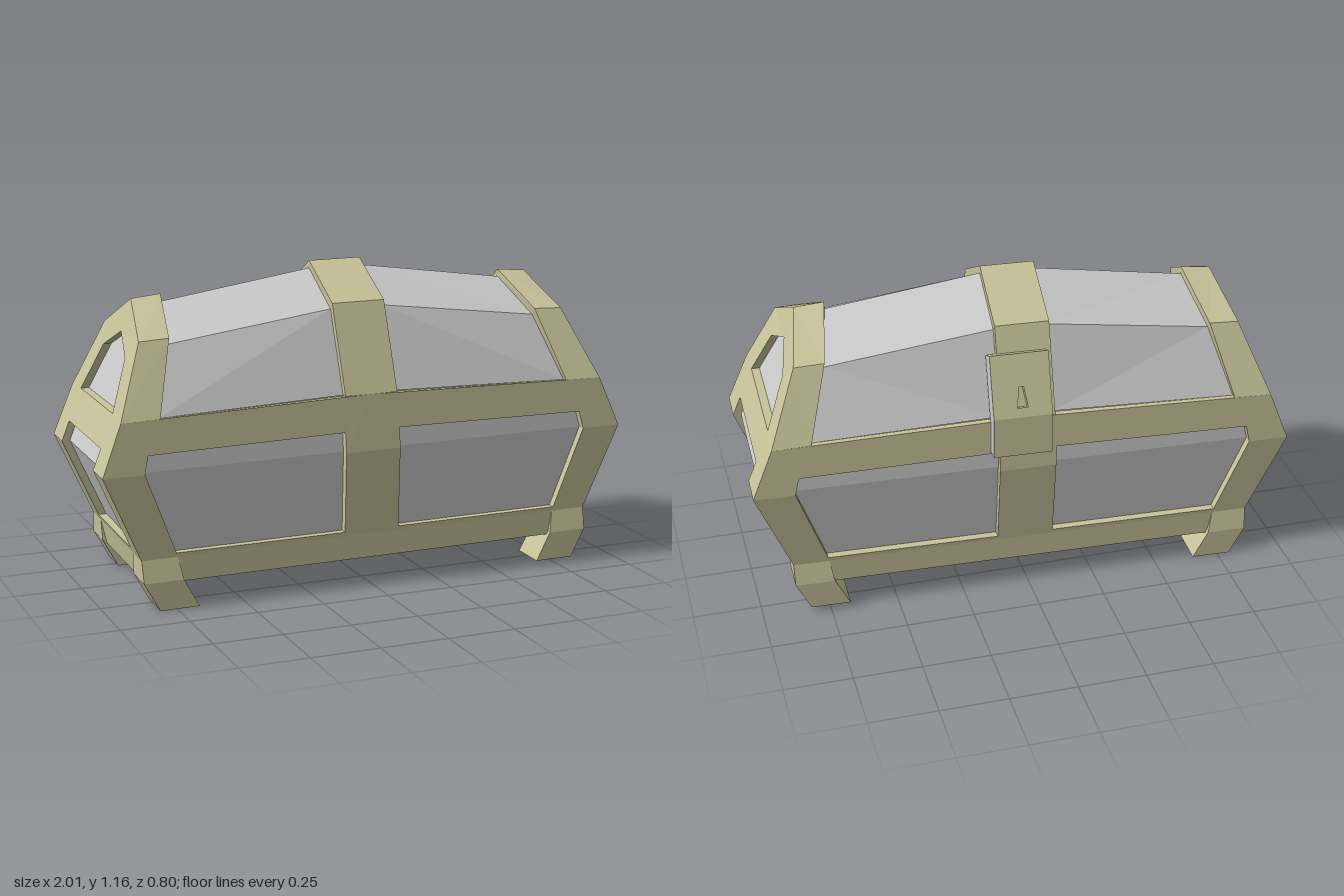
import * as THREE from 'three';

const makeMat = color => new THREE.MeshStandardMaterial({ color, flatShading: true, side: THREE.DoubleSide });

// Quads between successive rows of points; closed joins each row's last point to its first
function loft(rows, closed = false) {
  const pos = [];
  for (let r = 0; r + 1 < rows.length; r++) {
    const a = rows[r], b = rows[r + 1], n = a.length;
    for (let i = 0; i < (closed ? n : n - 1); i++) {
      const j = (i + 1) % n;
      pos.push(...a[i], ...a[j], ...b[j], ...a[i], ...b[j], ...b[i]);
    }
  }
  const g = new THREE.BufferGeometry();
  g.setAttribute('position', new THREE.Float32BufferAttribute(pos, 3));
  g.computeVertexNormals();
  return g;
}

// Corner edge of the chest from skirt to ridge: half length, height, half depth
const A = [0.85, 0.11, 0.345], B = [0.867, 0.2, 0.345], C = [1.0, 0.515, 0.37];
const D = [0.925, 0.7, 0.355], E = [0.82, 0.955, 0.235], F = [0.78, 1.07, 0];
const EDGE = [A, B, C, D, E, F];

// Corner edge value (axis 0 = x, 2 = z) at a height
function edgeAt(y, axis) {
  let i = 0;
  while (i < EDGE.length - 2 && EDGE[i + 1][1] < y) i++;
  const p = EDGE[i], q = EDGE[i + 1];
  return THREE.MathUtils.lerp(p[axis], q[axis], (y - p[1]) / (q[1] - p[1]));
}

const move = (pts, dx, dy, dz) => pts.map(([x, y, z]) => [x + dx, y + dy, z + dz]);
const sign = (pts, s, t) => pts.map(([x, y, z]) => [x * s, y, z * t]);
// Half arch (front to ridge) mirrored into a full five-point arch
const arch = h => [...h, ...sign([h[1], h[0]], 1, -1)];

export function createModel() {
  const frame = makeMat(0xc8c49a), grey = makeMat(0xcccccc);
  const chest = new THREE.Group();
  const add = (name, geo, mat) => {
    const m = new THREE.Mesh(geo, mat);
    m.name = name;
    chest.add(m);
  };
  const REC = 0.03;

  // Long sides: four framed openings with recessed bent panels
  const sideOuter = [[0, 0.72, 0.355], [0, 0.515, 0.37], [0, 0.2, 0.345], B, C, D];
  const sideHole = [[0.105, 0.59], [0.105, 0.515], [0.105, 0.215], [0.74, 0.215], [0.85, 0.515], [0.835, 0.58]]
    .map(([x, y]) => [x, y, edgeAt(y, 2)]);
  const sideIn = move(sideHole, 0, 0, -REC);
  for (const s of [1, -1]) for (const t of [1, -1]) {
    add('sideFrame', loft([sideOuter, sideHole, sideIn].map(r => sign(r, s, t)), true), frame);
    const p = sign(sideIn, s, t);
    add('sidePanel', loft([p.slice(0, 3), [p[5], p[4], p[3]]]), grey);
  }

  // Ends: lower opening and gabled window
  const endOuter = [...[D, C, B], ...sign([B, C, D], 1, -1)];
  const half = [[0.59, 0.235], [0.515, 0.235], [0.22, 0.23]].map(([y, z]) => [edgeAt(y, 0), y, z]);
  const endHole = [...half, ...sign([...half].reverse(), 1, -1)];
  const gable = arch([D, E, F]);
  const windowHole = arch([[0.71, 0.23], [0.885, 0.15], [0.955, 0]].map(([y, z]) => [edgeAt(y, 0), y, z]));
  for (const s of [1, -1]) {
    const endIn = move(endHole, -REC, 0, 0), winIn = move(windowHole, -REC, 0, 0);
    add('endFrame', loft([endOuter, endHole, endIn].map(r => sign(r, s, 1)), true), frame);
    const p = sign(endIn, s, 1);
    add('endPanel', loft([p.slice(0, 3), [p[5], p[4], p[3]]]), grey);
    add('gableFrame', loft([gable, windowHole, winIn].map(r => sign(r, s, 1)), true), frame);
    const w = sign(winIn, s, 1);
    add('gablePanel', loft([[w[0], w[1], w[2]], [w[4], w[3], w[2]]]), grey);
  }

  // Lid: end arches, recessed panels and raised centre rib
  const archEdge = arch([[0.785, 0.7, 0.355], [0.71, 0.96, 0.235], [0.67, 1.08, 0]]);
  const panelEnd = arch([[0.785, 0.7, 0.33], [0.71, 0.935, 0.215], [0.67, 1.052, 0]]);
  const rib = x => arch([[x, 0.72, 0.355], [x, 1.038, 0.235], [x, 1.163, 0]]);
  const panelRib = arch([[0.1, 0.72, 0.33], [0.1, 1.015, 0.215], [0.1, 1.135, 0]]);
  for (const s of [1, -1]) {
    add('lidEndArch', loft([gable, archEdge, panelEnd].map(r => sign(r, s, 1))), frame);
    add('lidPanel', loft([panelEnd, panelRib].map(r => sign(r, s, 1))), grey);
    add('lidRibSide', loft([panelRib, rib(0.1)].map(r => sign(r, s, 1))), frame);
    for (const t of [1, -1]) {
      const ledge = [[[0, 0.72, 0.355], D], [[0, 0.72, 0.33], [0.785, 0.7, 0.33]]];
      add('lidLedge', loft(ledge.map(r => sign(r, s, t))), frame);
    }
  }
  add('lidRib', loft([rib(-0.1), rib(0.1)]), frame);

  // Skirt, bottom rim and floor with a centre strip
  const ring = ([x, y, z]) => [[x, y, z], [-x, y, z], [-x, y, -z], [x, y, -z]];
  add('skirt', loft([B, A, [0.82, 0.11, 0.315], [0.82, 0.125, 0.315]].map(ring), true), frame);
  const floorRow = x => [[x, 0.125, 0.315], [x, 0.125, -0.315]];
  add('floorPanel', loft([floorRow(-0.82), floorRow(-0.11)]), grey);
  add('floorPanel', loft([floorRow(0.11), floorRow(0.82)]), grey);
  add('floorStrip', loft([floorRow(-0.11), floorRow(0.11)]), frame);

  // Feet: flared below the corners
  const footRing = (x0, x1, z0, z1, y) => [[x0, y, z0], [x1, y, z0], [x1, y, z1], [x0, y, z1]];
  const foot = [
    footRing(0.735, 0.867, 0.23, 0.345, 0.2),
    footRing(0.72, 0.865, 0.22, 0.362, 0.12),
    footRing(0.665, 0.81, 0.215, 0.362, 0.015),
    footRing(0.737, 0.738, 0.288, 0.289, 0.015),
  ];
  for (const s of [1, -1]) for (const t of [1, -1])
    add('foot', loft(foot.map(r => sign(r, s, t)), true), frame);

  // Lock: bent hasp on the back with a keyhole in its sloping face
  const prof = [[0.94, -0.26], [0.965, -0.317], [0.75, -0.4], [0.6, -0.41], [0.597, -0.355], [0.72, -0.345]];
  const at = (x, list = prof) => list.map(([y, z]) => [x, y, z]);
  const x0 = -0.078, x1 = 0.138;
  const wrap = [prof[2], prof[3], prof[4], prof[5], prof[0], prof[1]];
  add('lockBody', loft([at(x0, wrap), at(x1, wrap)]), frame);
  for (const x of [x0, x1]) {
    const p = at(x);
    add('lockSide', loft([[p[0], p[5], p[4]], [p[1], p[2], p[3]]]), grey);
  }
  const onFace = (x, v) => [x, THREE.MathUtils.lerp(0.965, 0.75, v), THREE.MathUtils.lerp(-0.317, -0.4, v)];
  const face = [onFace(x0, 0), onFace(x1, 0), onFace(x1, 1), onFace(x0, 1)];
  const key = [onFace(0.022, 0.52), onFace(0.038, 0.52), onFace(0.05, 0.85), onFace(0.01, 0.85)];
  const keyIn = move(key, 0, -0.008, 0.022);
  add('lockFace', loft([face, key, keyIn], true), frame);
  add('keyholeBack', loft([[keyIn[0], keyIn[1]], [keyIn[3], keyIn[2]]]), frame);

  // The chest sits slightly askew
  chest.name = 'chest';
  chest.rotation.set(0, -0.021, 0.014);
  chest.position.set(0.006, 0, 0.012);
  const model = new THREE.Group();
  model.name = 'treasureChest';
  model.add(chest);
  return model;
}
